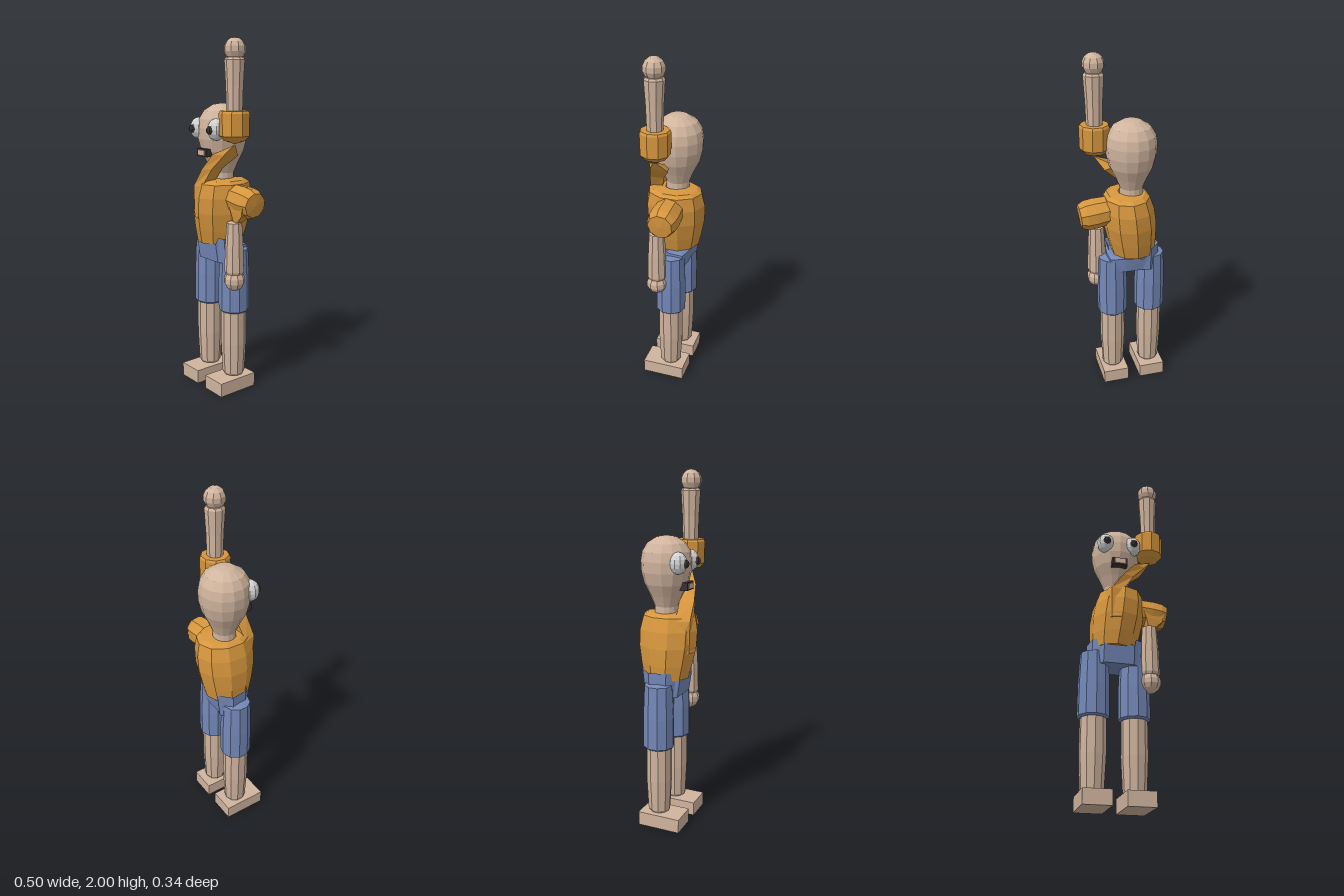
import * as THREE from 'three';

const flat = (name, color, side = THREE.FrontSide) => {
  const m = new THREE.MeshStandardMaterial({ color, flatShading: true, side });
  m.name = name;
  return m;
};

// Joins rings of [x, y, z] points (counterclockwise from above) and closes both ends
function loft(rings) {
  const n = rings[0].length, pos = [], idx = [];
  rings.forEach(r => r.forEach(p => pos.push(...p)));
  for (let k = 0; k < rings.length - 1; k++)
    for (let i = 0; i < n; i++) {
      const a = k * n + i, b = k * n + (i + 1) % n;
      idx.push(a, b, b + n, a, b + n, a + n);
    }
  const cap = (k, top) => {
    const c = [0, 1, 2].map(j => rings[k].reduce((s, p) => s + p[j] / n, 0));
    const ci = pos.length / 3;
    pos.push(...c);
    for (let i = 0; i < n; i++) {
      const a = k * n + i, b = k * n + (i + 1) % n;
      idx.push(ci, ...(top ? [a, b] : [b, a]));
    }
  };
  cap(0, false);
  cap(rings.length - 1, true);
  const g = new THREE.BufferGeometry();
  g.setAttribute('position', new THREE.Float32BufferAttribute(pos, 3));
  g.setIndex(idx);
  g.computeVertexNormals();
  return g;
}

// Turned shape from [radius, y] pairs, bottom to top
const turned = (pts, sides) => new THREE.LatheGeometry(pts.map(p => new THREE.Vector2(...p)), sides);

export function createModel() {
  const group = new THREE.Group();
  const skin = flat('skin', 0xd0b49e);
  const shirt = flat('orange shirt', 0xd6963e, THREE.DoubleSide);
  const denim = flat('blue shorts', 0x7488b8, THREE.DoubleSide);
  const white = flat('eye white', 0xd2d4d4);
  const dark = flat('dark brown', 0x3d3033);

  const add = (name, geo, mat, x = 0, y = 0, z = 0) => {
    const m = new THREE.Mesh(geo, mat);
    m.name = name;
    m.position.set(x, y, z);
    group.add(m);
    return m;
  };

  // Head and neck in one turned form
  add('head', turned([[0.066, 1.18], [0.065, 1.27], [0.09, 1.33], [0.122, 1.395], [0.138, 1.46],
    [0.141, 1.52], [0.132, 1.57], [0.105, 1.615], [0.052, 1.648], [0, 1.655]], 14), skin, -0.047, 0, -0.008);

  // Bulging eyes with pupils
  for (const s of [-1, 1]) {
    const x = -0.048 + s * 0.08;
    add('eye', new THREE.SphereGeometry(0.05, 10, 8), white, x, 1.517, 0.097).scale.y = 1.2;
    add('pupil', new THREE.SphereGeometry(0.023, 8, 6), dark, x, 1.515, 0.138);
  }

  // Mouth frame with a pale plate
  add('mouth', new THREE.BoxGeometry(0.088, 0.044, 0.07), dark, -0.049, 1.388, 0.1);
  add('teeth', new THREE.BoxGeometry(0.06, 0.03, 0.008), skin, -0.049, 1.388, 0.137);

  // Barrel torso, oval and leaning slightly sideways
  const torso = turned([[0, 0.87], [0.13, 0.87], [0.15, 0.95], [0.169, 1.05], [0.171, 1.14],
    [0.155, 1.215], [0.13, 1.232], [0.055, 1.24]], 10);
  const p = torso.attributes.position;
  for (let i = 0; i < p.count; i++) {
    const t = (p.getY(i) - 0.87) / 0.37;
    p.setX(i, p.getX(i) * (0.96 - 0.14 * t) - 0.06 + 0.04 * t);
  }
  add('torso', torso, shirt);

  // Twisted shirt flap stretching up to the raised arm
  add('raisedSleeveFlap', loft([
    [[-0.17, 1.02, 0.06], [-0.1, 1.02, 0.15], [-0.05, 1.02, 0.165], [-0.04, 1.02, 0.1]],
    [[-0.13, 1.2, 0.08], [-0.1, 1.2, 0.155], [-0.03, 1.2, 0.15], [-0.03, 1.2, 0.08]],
    [[-0.05, 1.3, 0.07], [-0.03, 1.3, 0.15], [0.03, 1.3, 0.13], [0.025, 1.3, 0.05]],
    [[0.03, 1.385, 0.02], [0.04, 1.385, 0.13], [0.105, 1.385, 0.1], [0.1, 1.375, 0.0]],
    [[0.135, 1.435, 0.05], [0.135, 1.435, 0.07], [0.147, 1.44, 0.065], [0.147, 1.44, 0.055]],
  ]), shirt);

  // Raised forearm with cuff and hand
  add('raisedCuff', turned([[0, 1.445], [0.06, 1.465], [0.083, 1.49], [0.085, 1.61],
    [0.078, 1.622], [0, 1.622]], 9), shirt, 0.14, 0, 0.056);
  add('raisedForearm', turned([[0, 1.6], [0.044, 1.6], [0.048, 1.75], [0.056, 1.885],
    [0.048, 1.897], [0, 1.897]], 9), skin, 0.14, 0, 0.056);
  add('raisedHand', new THREE.SphereGeometry(0.06, 9, 7), skin, 0.14, 1.94, 0.056);

  // Short sideways sleeve
  const sleeve = add('sleeve', turned([[0, -0.09], [0.08, -0.09], [0.087, 0], [0.085, 0.05],
    [0.07, 0.085], [0, 0.09]], 9), shirt, 0.162, 1.128, -0.002);
  sleeve.rotation.z = -Math.PI / 2 - 0.12;

  // Sleeve point reaching down to the hanging forearm
  add('sleevePoint', loft([
    [[0.135, 1.005, 0.045], [0.14, 1.005, 0.06], [0.165, 1.01, 0.055], [0.165, 1.01, 0.04]],
    [[0.11, 1.08, -0.02], [0.12, 1.08, 0.07], [0.215, 1.06, 0.07], [0.22, 1.06, -0.02]],
    [[0.1, 1.13, -0.05], [0.1, 1.13, 0.075], [0.23, 1.13, 0.075], [0.23, 1.13, -0.05]],
  ]), shirt);

  // Hanging forearm and hand
  add('hangingForearm', turned([[0, 0.725], [0.05, 0.725], [0.056, 0.74], [0.052, 0.88],
    [0.044, 1.015], [0, 1.02]], 9), skin, 0.14, 0, 0.055);
  add('hangingHand', new THREE.SphereGeometry(0.061, 9, 7), skin, 0.14, 0.686, 0.055);

  // Waistband with raised corner points
  const waist = [[-0.2, 0.915, -0.05], [-0.185, 0.915, 0.05], [-0.14, 0.915, 0.09], [-0.13, 0.88, 0.11],
    [0.04, 0.88, 0.11], [0.05, 0.915, 0.1], [0.085, 0.915, 0.085], [0.098, 0.87, 0],
    [0.09, 0.86, -0.08], [0, 0.86, -0.1], [-0.1, 0.85, -0.1], [-0.14, 0.92, -0.115]];
  add('waistband', loft([waist.map(([x, , z]) => [x, 0.77, z * 0.85]),
    waist, waist.map(([x, , z]) => [x * 0.8, 0.87, z * 0.8])]), denim);

  // Legs with shorts and box feet
  for (const x of [-0.163, 0.064]) {
    add('shortsLeg', turned([[0, 0.475], [0.076, 0.475], [0.088, 0.485], [0.088, 0.66],
      [0.08, 0.845], [0, 0.858]], 10), denim, x, 0, -0.004);
    add('leg', turned([[0, 0.08], [0.055, 0.085], [0.064, 0.1], [0.073, 0.28],
      [0.072, 0.5], [0, 0.5]], 10), skin, x, 0, -0.002);
    add('foot', new THREE.BoxGeometry(0.152, 0.08, 0.25), skin, x, 0.04, 0.025);
  }
  return group;
}
